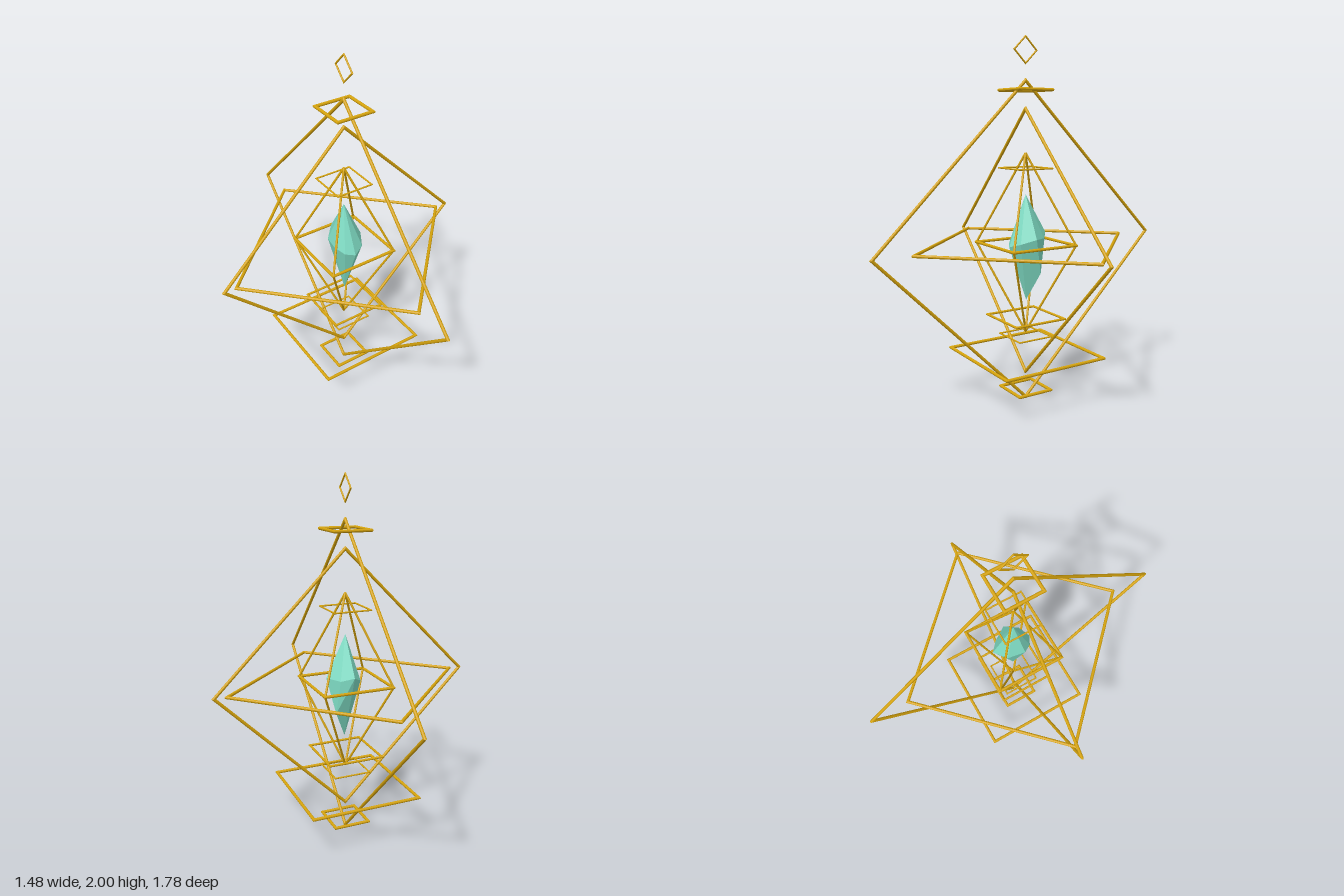
import * as THREE from 'three';
import { ConvexGeometry } from 'three/addons/geometries/ConvexGeometry.js';

const gold = new THREE.MeshStandardMaterial({ color: 0xd4a20c, flatShading: true });
const teal = new THREE.MeshStandardMaterial({ color: 0x7fdcc4, flatShading: true });
const MID = 0.889;

export function createModel() {
  const model = new THREE.Group();

  // Four-sided ring of round bar with mitred corners; r is centre to corner
  function frame(name, r, tube, y, plane) {
    const g = new THREE.TorusGeometry(r, tube, 16, 4);
    // Widen the corner sections so the bars between them stay round
    const p = g.attributes.position;
    for (let i = 0; i < p.count; i++) {
      const d = Math.hypot(p.getX(i), p.getY(i));
      const k = (r + (d - r) * Math.SQRT2) / d;
      p.setXY(i, p.getX(i) * k, p.getY(i) * k);
    }
    if (plane === 'square') g.rotateZ(Math.PI / 4);
    if (plane === 'square' || plane === 'xz') g.rotateX(Math.PI / 2);
    if (plane === 'yz') g.rotateY(Math.PI / 2);
    const mesh = new THREE.Mesh(g, gold);
    mesh.name = name;
    mesh.position.y = y;
    model.add(mesh);
  }

  // Three large interlocking diamonds
  frame('frontDiamond', 0.729, 0.0085, MID, 'xy');
  frame('sideDiamond', 0.877, 0.0085, MID, 'yz');
  frame('flatDiamond', 0.661, 0.0085, MID, 'xz');

  // Small finial diamond on top
  frame('topDiamond', 0.0695, 0.0045, 1.924, 'yz');

  // Stacked horizontal squares: [height, half side, tube radius]
  const squares = [
    [1.716, 0.101, 0.0085],
    [1.302, 0.104, 0.0045],
    [0.477, 0.155, 0.0065],
    [0.372, 0.104, 0.0045],
    [0.268, 0.309, 0.0085],
    [0.062, 0.101, 0.0085],
  ];
  squares.forEach(([y, half, tube], i) =>
    frame('flatSquare' + (i + 1), half * Math.SQRT2, tube, y, 'square'));

  // Inner cage: a square waist joined to two points
  const w = 0.197;
  frame('cageWaist', w * Math.SQRT2, 0.008, MID, 'square');
  const up = new THREE.Vector3(0, 1, 0);
  for (const x of [-w, w]) for (const z of [-w, w]) for (const tip of [MID + 0.495, MID - 0.495]) {
    const a = new THREE.Vector3(x, MID, z);
    const b = new THREE.Vector3(0, tip, 0);
    const bar = new THREE.Mesh(new THREE.CylinderGeometry(0.006, 0.006, a.distanceTo(b), 16), gold);
    bar.name = 'cageBar';
    bar.position.copy(a).lerp(b, 0.5);
    bar.quaternion.setFromUnitVectors(up, b.clone().sub(a).normalize());
    model.add(bar);
  }

  // Irregular faceted crystal in the middle
  const points = [
    [0, 1.16, 0],
    [0, 0.945, -0.13], [-0.06, 0.91, -0.07], [-0.08, 0.92, 0.03], [-0.045, 0.89, 0.08],
    [0.005, 0.88, 0.108], [0.07, 0.9, 0.075], [0.112, 0.925, 0], [0.06, 0.92, -0.08],
    [0.075, 0.73, -0.05], [-0.035, 0.73, 0.0],
    [0.005, 0.575, 0],
  ].map(p => new THREE.Vector3(...p));
  const crystal = new THREE.Mesh(new ConvexGeometry(points), teal);
  crystal.name = 'crystal';
  model.add(crystal);

  return model;
}
